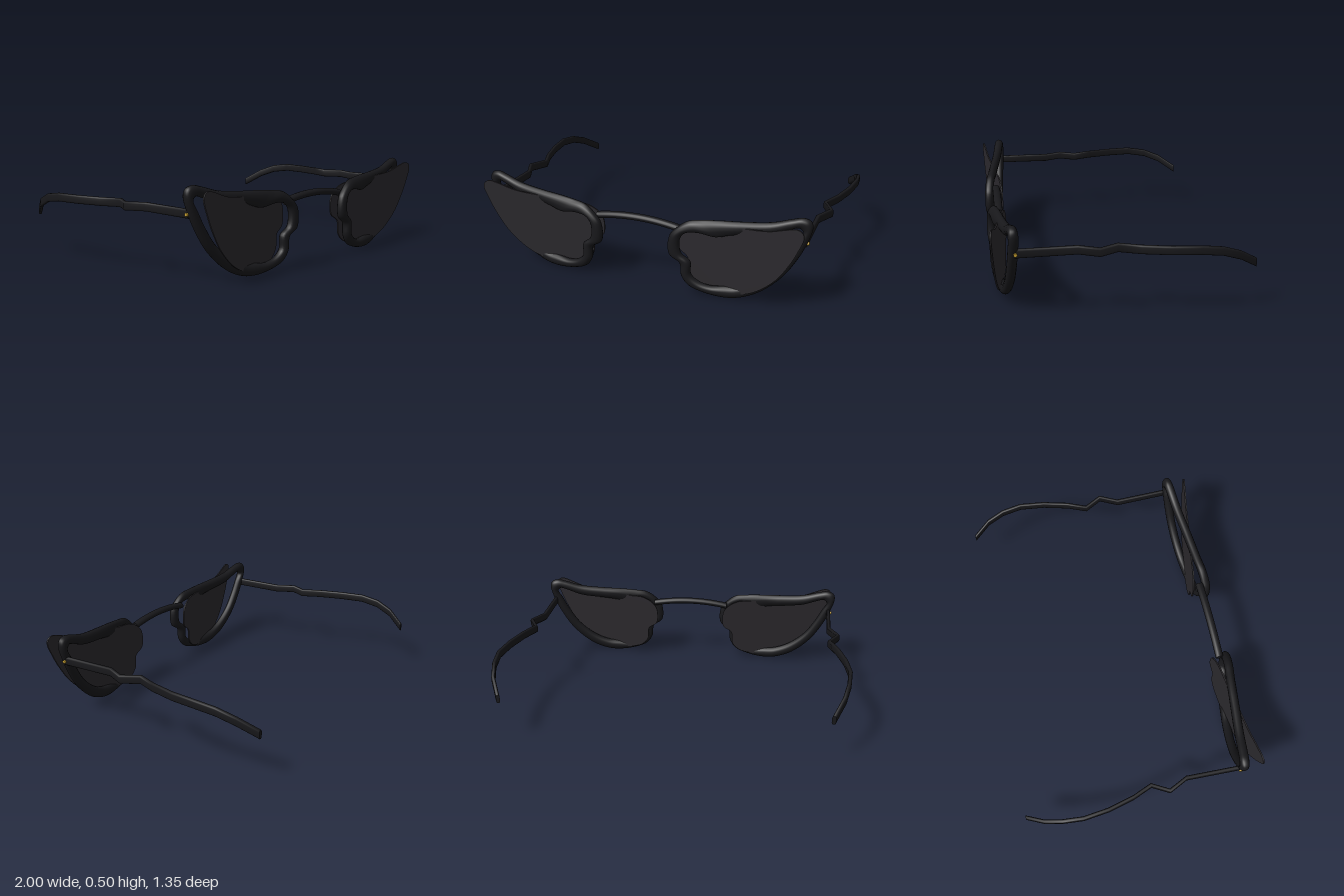
import * as THREE from 'three';
import { mergeVertices } from 'three/addons/utils/BufferGeometryUtils.js';

const frameMat = new THREE.MeshStandardMaterial({ color: 0x18181b });
const lensMat = new THREE.MeshStandardMaterial({ color: 0x2b292d, side: THREE.DoubleSide });
const brassMat = new THREE.MeshStandardMaterial({ color: 0xc8a030 });

// Rim outline in hundredths, as pairs: outer x, y and inner x, y
const RIM = [
  [93.3, 45.7, 88.5, 42.5], [92.2, 49, 87.4, 44.1], [88.5, 50.3, 86.2, 44.7],
  [83.2, 49.2, 82.6, 43.6], [73, 46.3, 72.5, 39.8], [57, 44.7, 57.5, 37.7],
  [46.3, 44.1, 51.6, 36.6], [37.2, 43.3, 45.2, 35], [29.7, 42, 36.1, 36.4],
  [23.8, 37.7, 29.1, 35.6], [20, 32.9, 25.9, 31.8], [19.8, 22.2, 26.5, 23.3],
  [25.4, 17.9, 31.3, 19], [26.5, 10.4, 31.8, 11.5], [30.2, 5.1, 36.1, 7.8],
  [38.2, 1.9, 42, 6.1], [48.9, 0.3, 49.5, 6.7], [57.5, 1.3, 55.9, 7.5],
  [68.2, 6.1, 65, 11.5], [79.4, 16.3, 75.1, 20], [86.4, 27, 81.6, 29.7],
  [90.6, 36, 85.8, 37.7],
];
// Temple arm centre line: x, y, z
const ARM = [
  [0.897, 0.365, 0.55], [0.89, 0.365, 0.24], [0.94, 0.365, 0.136], [0.888, 0.365, -0.04],
  [0.933, 0.365, -0.07], [0.97, 0.365, -0.216], [0.987, 0.365, -0.36], [0.976, 0.349, -0.475],
  [0.95, 0.312, -0.575], [0.896, 0.247, -0.675],
];
ARM[3][2] = 0.04;

// Skin over rings of points; closed joins the last ring to the first, otherwise the ends are capped
function loft(rings, closed) {
  const n = rings[0].length, count = rings.length;
  const pos = rings.flat().flatMap((p) => [p.x, p.y, p.z]);
  const index = [];
  for (let i = 0; i < (closed ? count : count - 1); i++) {
    for (let j = 0; j < n; j++) {
      const a = i * n + j, b = i * n + (j + 1) % n;
      const k = ((i + 1) % count) * n;
      const c = k + j, d = k + (j + 1) % n;
      index.push(a, c, b, b, c, d);
    }
  }
  if (!closed) {
    [rings[0], rings[count - 1]].forEach((ring, end) => {
      const base = pos.length / 3;
      ring.forEach((p) => pos.push(p.x, p.y, p.z));
      for (let j = 1; j < n - 1; j++) {
        if (end) index.push(base, base + j + 1, base + j);
        else index.push(base, base + j, base + j + 1);
      }
    });
  }
  const geo = new THREE.BufferGeometry();
  geo.setAttribute('position', new THREE.Float32BufferAttribute(pos, 3));
  geo.setIndex(index);
  geo.computeVertexNormals();
  return geo;
}

// Ring of points around a centre, spanned by two half axes; power below 1 squares it off
function ring(centre, u, v, sides, power = 1) {
  const shape = (t) => Math.sign(t) * Math.abs(t) ** power;
  return Array.from({ length: sides }, (_, j) => {
    const a = (j / sides) * Math.PI * 2;
    return centre.clone().addScaledVector(u, shape(Math.cos(a))).addScaledVector(v, shape(Math.sin(a)));
  });
}

// Smooth closed outline, t = 0 on the inner edge of the rim and 1 on the outer
function outline(t, samples) {
  const pts = RIM.map(([ox, oy, ix, iy]) =>
    new THREE.Vector3(ix + (ox - ix) * t, iy + (oy - iy) * t, 0).multiplyScalar(0.01));
  const curve = new THREE.CatmullRomCurve3(pts, true, 'centripetal');
  return Array.from({ length: samples }, (_, i) => curve.getPoint(i / samples));
}

function rimGeometry() {
  const outer = outline(1, 132), inner = outline(0, 132);
  const depth = new THREE.Vector3(0, 0, 0.026);
  return loft(outer.map((o, i) => {
    const centre = o.clone().add(inner[i]).multiplyScalar(0.5);
    centre.z = 0.603 - 0.134 * (centre.x - 0.55);
    return ring(centre, o.clone().sub(inner[i]).multiplyScalar(0.5), depth, 14);
  }), true);
}

// Thin flat lens, slanted the opposite way to the rim
function lensGeometry() {
  const shape = new THREE.Shape(outline(0.62, 132).map((p) => new THREE.Vector2(p.x, p.y)));
  const geo = new THREE.ExtrudeGeometry(shape, { depth: 0.008, bevelEnabled: false });
  const p = geo.attributes.position;
  for (let i = 0; i < p.count; i++) p.setZ(i, p.getZ(i) + 0.611 + 0.138 * (p.getX(i) - 0.56));
  geo.computeVertexNormals();
  return mergeVertices(geo);
}

function armGeometry() {
  const u = new THREE.Vector3(0.0115, 0, 0), v = new THREE.Vector3(0, 0.0235, 0);
  return loft(ARM.map((p) => ring(new THREE.Vector3(...p), u, v, 16, 0.6)), false);
}

function hingeGeometry() {
  const geo = new THREE.CylinderGeometry(0.009, 0.009, 0.035, 12);
  return geo.rotateZ(Math.PI / 2).translate(0.9, 0.363, 0.547);
}

function bridgeGeometry() {
  const u = new THREE.Vector3(0, 0, 0.023), v = new THREE.Vector3(0, 0.019, 0);
  const rings = [];
  for (let i = 0; i <= 20; i++) {
    const x = -0.24 + 0.024 * i;
    rings.push(ring(new THREE.Vector3(x, 0.38 - 0.42 * x * x, 0.604), u, v, 16));
  }
  return loft(rings, false);
}

// Copy to the other side of x = 0, keeping faces outward
function mirrored(geo) {
  const copy = geo.clone().scale(-1, 1, 1);
  const idx = copy.index;
  for (let i = 0; i < idx.count; i += 3) {
    const b = idx.getX(i + 1);
    idx.setX(i + 1, idx.getX(i + 2));
    idx.setX(i + 2, b);
  }
  return copy;
}

export function createModel() {
  const model = new THREE.Group();
  model.name = 'sunglasses';
  const add = (name, geo, mat) => {
    const mesh = new THREE.Mesh(geo, mat);
    mesh.name = name;
    model.add(mesh);
  };
  const parts = [
    ['Rim', rimGeometry(), frameMat],
    ['Lens', lensGeometry(), lensMat],
    ['Arm', armGeometry(), frameMat],
    ['HingeScrew', hingeGeometry(), brassMat],
  ];
  for (const [name, geo, mat] of parts) {
    add('left' + name, geo, mat);
    add('right' + name, mirrored(geo), mat);
  }
  add('bridge', bridgeGeometry(), frameMat);
  return model;
}
